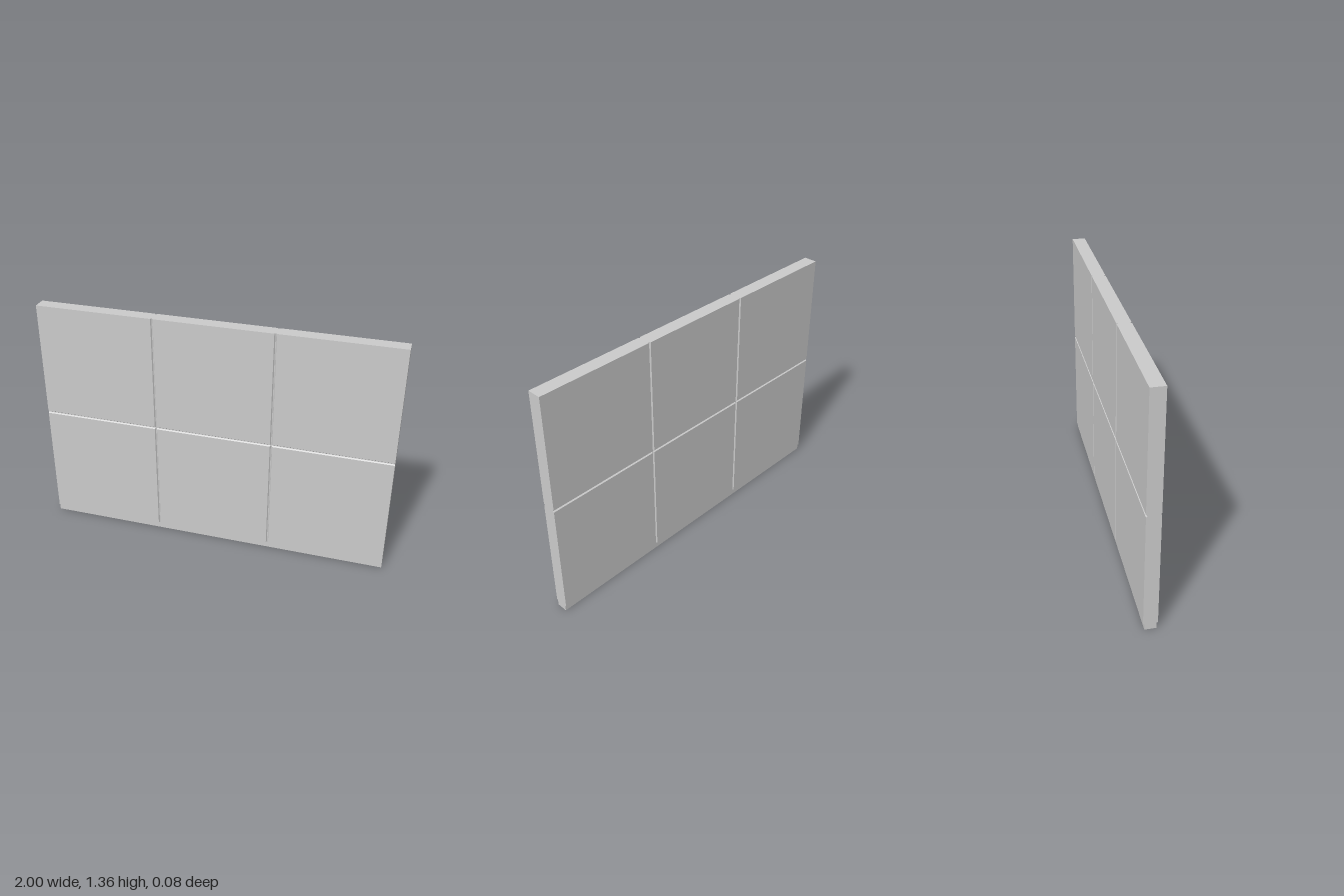
import * as THREE from 'three';

const material = new THREE.MeshStandardMaterial({ color: 0xcccccc, flatShading: true });

const HEIGHT = 1.36;
const CORE = 0.031;      // half depth of the core and plinth
const FACE = 0.038;      // half depth at the panel faces
const GAP = 0.002;       // half width of the groove floor
const BEVEL = 0.005;     // slope of the groove walls
const COLUMNS = [-1, -0.333, 0.333, 1];
const ROWS = [0.035, 0.70, HEIGHT];

// Slab whose outer face is drawn in along the edges that border a groove
function panelGeometry(x0, x1, y0, y1, bevel) {
  const depth = FACE - CORE;
  const geometry = new THREE.BoxGeometry(x1 - x0, y1 - y0, depth);
  geometry.translate((x0 + x1) / 2, (y0 + y1) / 2, CORE + depth / 2);
  const p = geometry.attributes.position;
  for (let i = 0; i < p.count; i++) {
    if (p.getZ(i) < FACE - 0.001) continue;
    const atLeft = p.getX(i) < (x0 + x1) / 2;
    const atBottom = p.getY(i) < (y0 + y1) / 2;
    p.setX(i, p.getX(i) + (atLeft ? bevel.x0 : -bevel.x1));
    p.setY(i, p.getY(i) + (atBottom ? bevel.y0 : -bevel.y1));
  }
  geometry.computeVertexNormals();
  return geometry;
}

export function createModel() {
  const wall = new THREE.Group();
  wall.name = 'panelledWall';

  // Core, visible as the plinth and the groove floors
  const core = new THREE.Mesh(new THREE.BoxGeometry(2, HEIGHT, CORE * 2), material);
  core.position.y = HEIGHT / 2;
  core.name = 'coreAndPlinth';
  wall.add(core);

  // Three by two raised panels on both faces
  for (const side of ['front', 'back']) {
    const face = new THREE.Group();
    face.name = side + 'Panels';
    if (side === 'back') face.rotation.y = Math.PI;
    for (let c = 0; c < 3; c++) {
      for (let r = 0; r < 2; r++) {
        const hasLeft = c > 0, hasRight = c < 2, upper = r === 1;
        const geometry = panelGeometry(
          COLUMNS[c] + (hasLeft ? GAP : 0),
          COLUMNS[c + 1] - (hasRight ? GAP : 0),
          ROWS[r] + (upper ? GAP : 0),
          ROWS[r + 1] - (upper ? 0 : GAP),
          {
            x0: hasLeft ? BEVEL : 0,
            x1: hasRight ? BEVEL : 0,
            y0: upper ? BEVEL : 0.003,
            y1: upper ? 0 : BEVEL,
          }
        );
        const panel = new THREE.Mesh(geometry, material);
        panel.name = `${side}${upper ? 'Upper' : 'Lower'}Panel${c + 1}`;
        face.add(panel);
      }
    }
    wall.add(face);
  }
  return wall;
}
